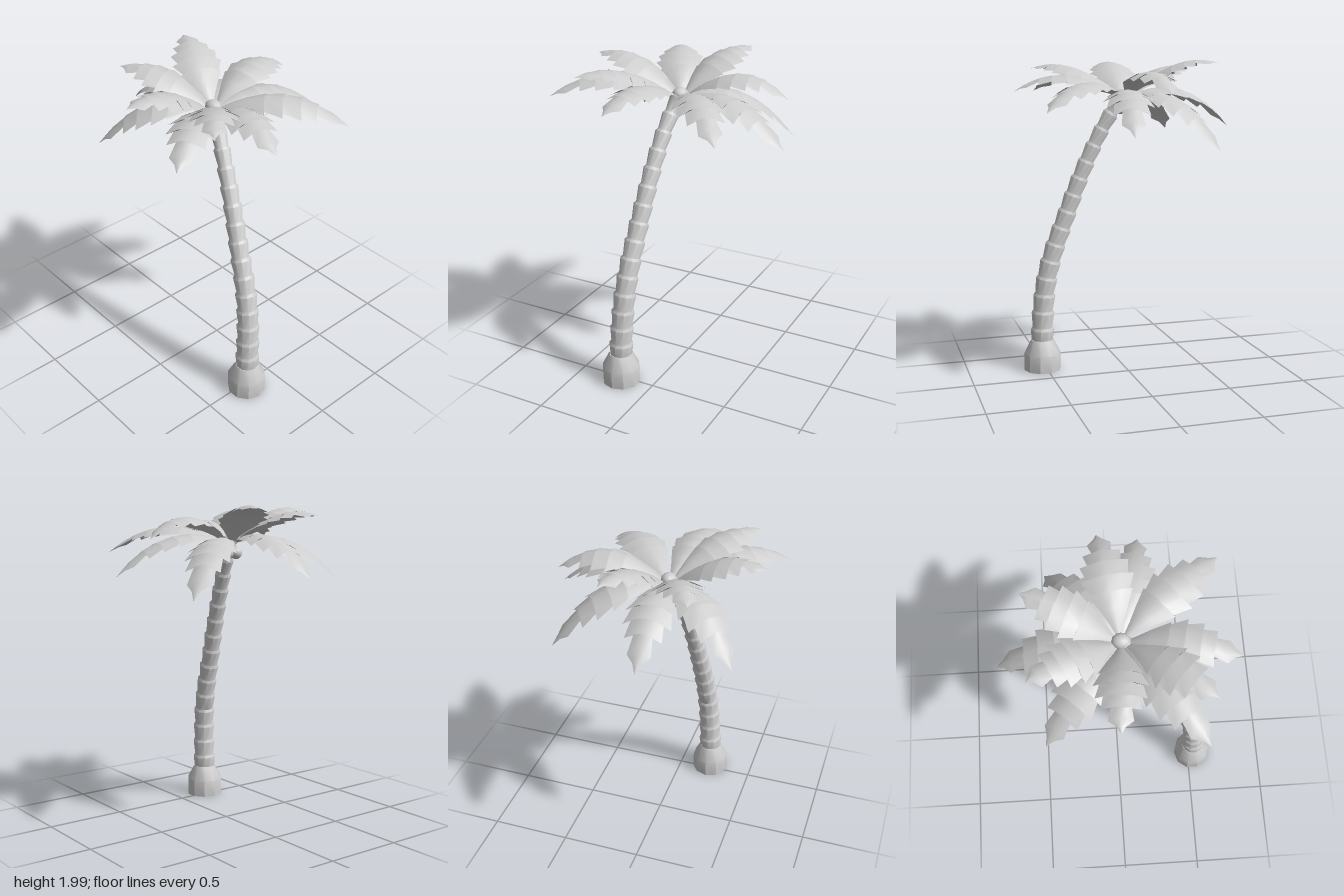
import * as THREE from 'three';
import { toCreasedNormals } from 'three/addons/utils/BufferGeometryUtils.js';

// Skin a grid of cross-section rows into a smooth surface.
function loft(rows) {
  const n = rows[0].length, index = [];
  for (let i = 0; i < rows.length - 1; i++) {
    for (let j = 0; j < n - 1; j++) {
      const a = i * n + j, b = a + 1, c = a + n, d = c + 1;
      index.push(a, b, d, a, d, c);
    }
  }
  const g = new THREE.BufferGeometry().setFromPoints(rows.flat());
  g.setIndex(index);
  g.computeVertexNormals();
  return g;
}

// Half outline of a serrated frond: [distance along the rib, half width]
const OUTLINE = [
  [0, 0.012], [0.1, 0.04], [0.2, 0.075], [0.33, 0.125], [0.35, 0.105],
  [0.47, 0.152], [0.49, 0.115], [0.61, 0.14], [0.63, 0.095],
  [0.73, 0.108], [0.76, 0.055], [0.85, 0.068], [0.93, 0.026], [1, 0.001],
];

function frondGeometry(start, control, tip) {
  const rib = new THREE.QuadraticBezierCurve3(start, control, tip);
  const dir = tip.clone().sub(start).setY(0).normalize();
  const side = new THREE.Vector3(-dir.z, 0, dir.x);
  const rows = OUTLINE.map(([t, w], k) => {
    // tooth points lean toward the tip, notches toward the base
    const tooth = k > 2 && k < 12 ? (k % 2 ? 0.02 : -0.02) : 0;
    return [-1, -0.5, 0, 0.5, 1].map((s) => {
      const p = rib.getPoint(Math.min(1, t + tooth * Math.abs(s)));
      p.addScaledVector(side, s * w);
      p.y -= 0.35 * w * s * s;
      return p;
    });
  });
  return loft(rows);
}

// Trunk of flared segments stacked along a leaning curve
function trunkGeometry() {
  const curve = new THREE.CatmullRomCurve3([
    [0.525, 0.17, 0.21], [0.517, 0.4, 0.2], [0.495, 0.6, 0.187], [0.445, 0.8, 0.172],
    [0.375, 1.0, 0.155], [0.305, 1.2, 0.135], [0.225, 1.4, 0.113], [0.13, 1.6, 0.085],
    [0.03, 1.77, 0.05],
  ].map((p) => new THREE.Vector3(...p)));
  const rows = [], SEGMENTS = 15, SIDES = 10;
  const ring = (t, r) => {
    const c = curve.getPointAt(t), T = curve.getTangentAt(t);
    const u = new THREE.Vector3(1, 0, 0).addScaledVector(T, -T.x).normalize();
    const v = T.clone().cross(u);
    rows.push(Array.from({ length: SIDES + 1 }, (_, j) => {
      const a = (j % SIDES) / SIDES * Math.PI * 2;
      return c.clone().addScaledVector(u, r * Math.cos(a)).addScaledVector(v, r * Math.sin(a));
    }));
  };
  for (let i = 0; i < SEGMENTS; i++) {
    const t = i / SEGMENTS, r = 0.072 - 0.03 * t;
    ring(t, r - 0.005);
    ring(t + 0.85 / SEGMENTS, r + 0.005);
  }
  ring(1, 0.035);
  return toCreasedNormals(loft(rows), 0.75);
}

export function createModel() {
  const gray = new THREE.MeshStandardMaterial({ color: 0xcccccc });
  gray.name = 'light gray';
  const leafGray = new THREE.MeshStandardMaterial({ color: 0xcccccc, side: THREE.DoubleSide });
  leafGray.name = 'leaf gray';

  const model = new THREE.Group();
  model.name = 'palmTree';
  const add = (name, geometry, material, parent = model) => {
    const mesh = new THREE.Mesh(geometry, material);
    mesh.name = name;
    parent.add(mesh);
    return mesh;
  };

  // Root collar
  const profile = [[0, 0], [0.12, 0], [0.12, 0.11], [0.073, 0.2], [0, 0.2]]
    .map(([x, y]) => new THREE.Vector2(x, y));
  const base = add('base', toCreasedNormals(
    new THREE.LatheGeometry(profile, 10, Math.PI / 2), 0.6), gray);
  base.position.set(0.525, 0, 0.21);

  add('trunk', trunkGeometry(), gray);

  // Crown bud and coconuts
  const bud = add('crownBud', new THREE.SphereGeometry(0.055, 12, 8), gray);
  bud.position.set(0.022, 1.775, 0.045);
  bud.scale.set(1, 0.75, 0.85);
  for (const [x, y, z] of [[0.0, 1.7, 0.078], [-0.002, 1.7, 0.01], [0.05, 1.7, 0.012]]) {
    add('coconut', new THREE.SphereGeometry(0.038, 14, 10), gray).position.set(x, y, z);
  }

  // Fronds: tip x, y, z and height of the arch control point
  const fronds = new THREE.Group();
  fronds.name = 'fronds';
  model.add(fronds);
  const TIPS = [
    [-0.52, 1.975, -0.185, 2.06], [-0.015, 1.955, 0.635, 2.06],
    [-0.505, 1.93, 0.315, 2.03], [0.515, 1.94, 0.47, 2.04],
    [-0.08, 1.8, -0.61, 2.07], [0.685, 1.8, 0.185, 2.02],
    [0.463, 1.79, 0.685, 2.04], [0.615, 1.7, -0.473, 1.99],
    [0.168, 1.57, -0.692, 1.94], [-0.69, 1.575, 0.08, 1.95],
    [-0.43, 1.53, 0.555, 1.92], [-0.405, 1.46, -0.535, 1.92],
  ];
  for (const [x, y, z, arch] of TIPS) {
    const tip = new THREE.Vector3(x, y, z);
    const crown = new THREE.Vector3(0.02, 1.765, 0.045);
    const out = tip.clone().sub(crown).setY(0);
    const start = crown.clone().addScaledVector(out.clone().normalize(), 0.03);
    const control = crown.clone().addScaledVector(out, 0.55).setY(arch);
    add('frond', frondGeometry(start, control, tip), leafGray, fronds);
  }
  return model;
}
